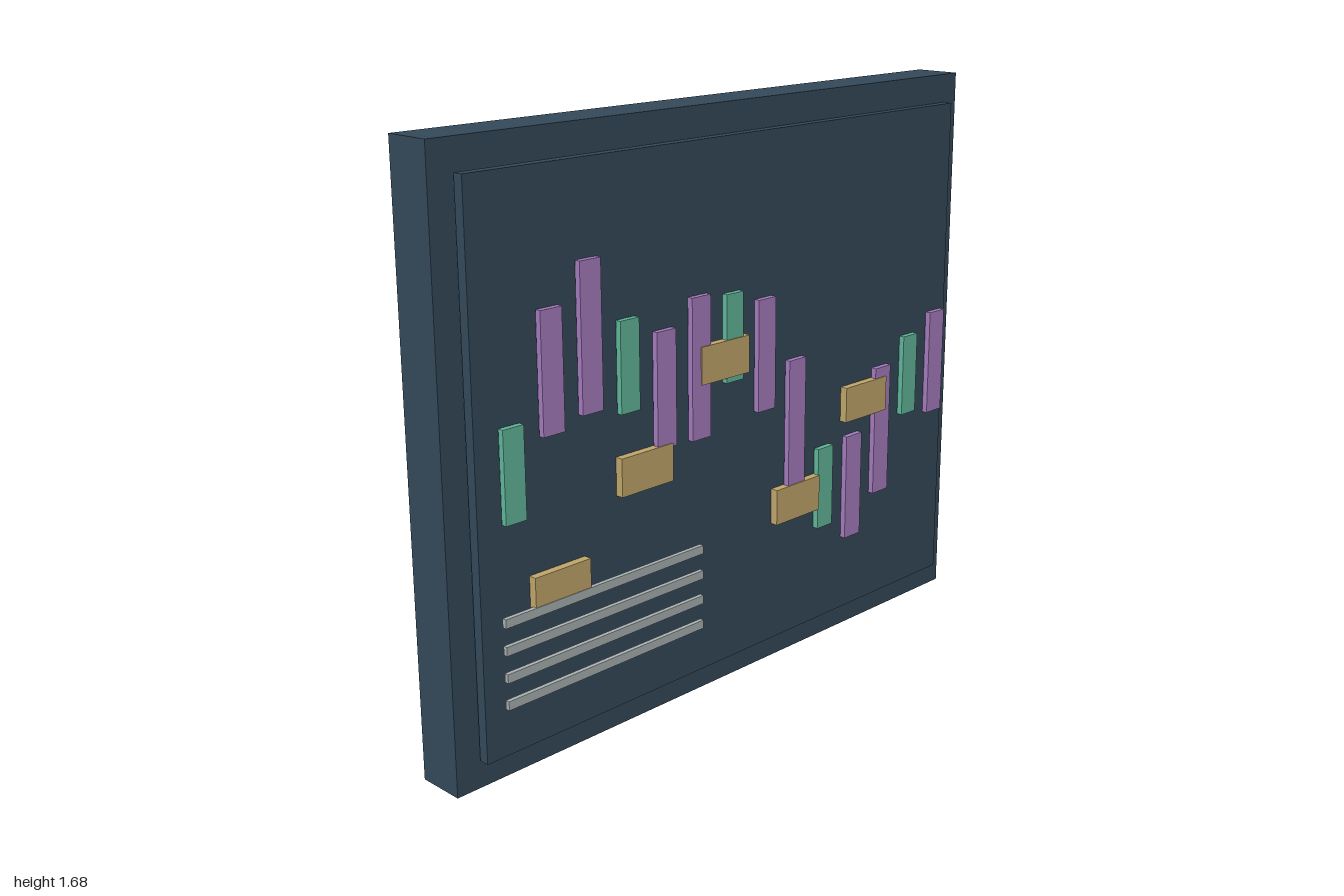
import * as THREE from 'three';

const mat = (name, color) => {
  const m = new THREE.MeshStandardMaterial({ color });
  m.name = name;
  return m;
};

export function createModel() {
  const model = new THREE.Group();
  model.name = 'chartBoard';
  const navy = mat('navy', 0x34495a);
  const purple = mat('purple', 0xa47bbd);
  const green = mat('green', 0x60b699);
  const tan = mat('tan', 0xbfa56a);
  const grey = mat('grey', 0xa8b0b0);

  // Box centred at x, y and spanning z0 to z1
  const slab = (name, material, x, y, w, h, z0, z1, parent = model) => {
    const mesh = new THREE.Mesh(new THREE.BoxGeometry(w, h, z1 - z0), material);
    mesh.name = name;
    mesh.position.set(x, y, (z0 + z1) / 2);
    parent.add(mesh);
  };
  const group = (name) => {
    const g = new THREE.Group();
    g.name = name;
    model.add(g);
    return g;
  };

  // Backing board and raised front panel
  slab('backBoard', navy, 0, 0.84, 2, 1.68, -0.102, 0.038);
  slab('frontPanel', navy, 0, 0.84, 1.86, 1.514, 0.047, 0.077);

  // Evenly spaced bars: [centre height, bar height]; the short ones are green
  const bars = group('bars');
  [
    [0.842, 0.25], [1.08, 0.325], [1.145, 0.4], [1.043, 0.25], [0.952, 0.325],
    [0.984, 0.4], [1.046, 0.25], [0.971, 0.325], [0.733, 0.4], [0.511, 0.25],
    [0.482, 0.325], [0.631, 0.4], [0.781, 0.25], [0.797, 0.325],
  ].forEach(([y, h], i) => {
    const short = h < 0.3;
    slab(short ? 'shortBar' : 'tallBar', short ? green : purple,
      -0.823 + i * 0.1303, y, short ? 0.066 : 0.07, h, 0.08, 0.097, bars);
  });

  // Wide tags
  const tags = group('tags');
  [[-0.679, 0.502], [-0.377, 0.746], [-0.08, 0.99], [0.226, 0.502], [0.53, 0.746]]
    .forEach(([x, y]) => slab('tag', tan, x, y, 0.187, 0.107, 0.072, 0.1, tags));

  // Ruled lines at the lower left
  const lines = group('lines');
  for (let i = 0; i < 4; i++) {
    slab('line', grey, -0.523, 0.236 + i * 0.0753, 0.7, 0.025, 0.089, 0.102, lines);
  }
  return model;
}
